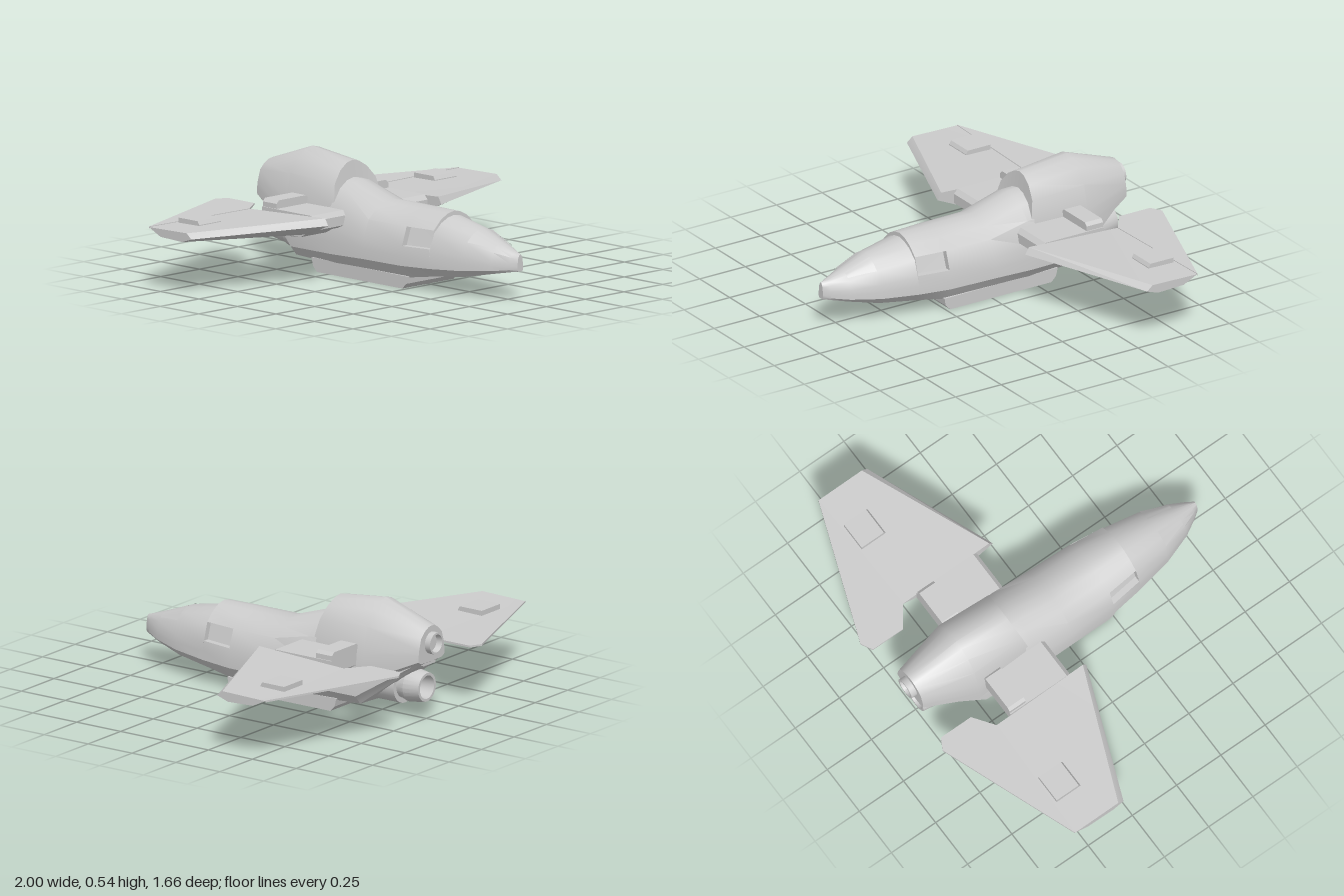
import * as THREE from 'three';
import { toCreasedNormals } from 'three/addons/utils/BufferGeometryUtils.js';

const grey = new THREE.MeshStandardMaterial({ color: 0xcccccc });
const greyDouble = new THREE.MeshStandardMaterial({ color: 0xcccccc, side: THREE.DoubleSide });

// Skin between rings of [x, y, z]; rings run counter-clockwise seen from the first end.
function loft(rings, skip = () => false, crease = 0.55) {
  const n = rings[0].length, pos = rings.flat(2), idx = [];
  for (let i = 0; i < rings.length - 1; i++) for (let j = 0; j < n; j++) {
    if (skip(i, j)) continue;
    const a = i * n + j, b = i * n + (j + 1) % n;
    idx.push(a, a + n, b, a + n, b + n, b);
  }
  [0, rings.length - 1].forEach((r, end) => {
    const c = [0, 1, 2].map(k => rings[r].reduce((s, p) => s + p[k], 0) / n);
    const ci = pos.length / 3;
    pos.push(...c);
    for (let j = 0; j < n; j++) {
      const a = r * n + j, b = r * n + (j + 1) % n;
      end ? idx.push(ci, b, a) : idx.push(ci, a, b);
    }
  });
  const g = new THREE.BufferGeometry();
  g.setAttribute('position', new THREE.Float32BufferAttribute(pos, 3));
  g.setIndex(idx);
  return toCreasedNormals(g, crease);
}

// Mirror an unindexed geometry across x = 0, keeping faces outward.
function mirrorX(g) {
  const m = g.clone().scale(-1, 1, 1);
  const p = m.attributes.position.array;
  for (let i = 0; i < p.length; i += 9) for (let k = 0; k < 3; k++) {
    [p[i + 3 + k], p[i + 6 + k]] = [p[i + 6 + k], p[i + 3 + k]];
  }
  m.deleteAttribute('normal');
  return toCreasedNormals(m, 0.5);
}

// Side profile of [z, y] points pushed along x.
function extrudeX(pts, x0, x1) {
  const s = new THREE.Shape(pts.map(([z, y]) => new THREE.Vector2(-z, y)));
  return new THREE.ExtrudeGeometry(s, { depth: x1 - x0, bevelEnabled: false })
    .rotateY(Math.PI / 2).translate(x0, 0, 0);
}

// Plan outline of [x, z] points pushed up in y.
function extrudeY(pts, y0, y1) {
  const s = new THREE.Shape(pts.map(([x, z]) => new THREE.Vector2(x, -z)));
  return new THREE.ExtrudeGeometry(s, { depth: y1 - y0, bevelEnabled: false })
    .rotateX(-Math.PI / 2).translate(0, y0, 0);
}

// Half body section from keel to crown.
const ARCH = [[0, 1], [0.18, 0.99], [0.36, 0.95], [0.7, 0.79], [0.88, 0.51], [0.97, 0.24], [1, 0]];
function halfSection([z, hw, bot, chine, top], slant = 0) {
  const pts = [[0, bot, z], [hw * 0.8, bot + (chine - bot) * 0.15, z]];
  ARCH.forEach(([f, w]) => pts.push([hw * w, chine + (top - chine) * f, z + slant * (1 - f)]));
  return pts;
}
const fullRing = h => [...h, ...h.slice(1, -1).reverse().map(([x, y, z]) => [-x, y, z])];

// z, half width, keel, chine, crown
const HULL = [
  [0.83, 0.018, 0.14, 0.15, 0.22], [0.8, 0.04, 0.135, 0.148, 0.23], [0.72, 0.085, 0.12, 0.138, 0.258],
  [0.58, 0.132, 0.09, 0.125, 0.31], [0.401, 0.165, 0.068, 0.115, 0.345], [0.4, 0.165, 0.068, 0.115, 0.364],
  [0.24, 0.186, 0.04, 0.11, 0.365], [0, 0.195, 0.04, 0.11, 0.365], [-0.2, 0.197, 0.04, 0.105, 0.43],
  [-0.48, 0.18, 0.05, 0.1, 0.44], [-0.77, 0.085, 0.275, 0.285, 0.42],
];
const HUMP = [[-0.26, 0.167, 0.15, 0.2, 0.51], [-0.52, 0.18, 0.13, 0.18, 0.54], [-0.78, 0.1, 0.28, 0.295, 0.45]];

// Point on the hull at station z and section position u (0 keel, 8 crown).
function hullPoint(z, u) {
  const i = HULL.findIndex((s, k) => k < HULL.length - 1 && z <= s[0] && z >= HULL[k + 1][0]);
  const t = (HULL[i][0] - z) / (HULL[i][0] - HULL[i + 1][0]);
  const a = halfSection(HULL[i]), b = halfSection(HULL[i + 1]);
  const j = Math.min(Math.floor(u), 7);
  const v = h => new THREE.Vector3(...h[j]).lerp(new THREE.Vector3(...h[j + 1]), u - j);
  return v(a).lerp(v(b), t);
}

export function createModel() {
  const model = new THREE.Group();
  const add = (name, geo, mat = grey, parent = model) => {
    const m = new THREE.Mesh(geo, mat);
    m.name = name;
    parent.add(m);
    return m;
  };

  // Hull, left open where the two side intakes sit
  add('hull', loft(HULL.map(s => fullRing(halfSection(s))), (i, j) => i === 5 && (j === 4 || j === 11)));
  add('rearHump', loft(HUMP.map((s, i) => fullRing(halfSection(s, i ? 0 : 0.06)))));

  // Belly pod and the small fairing behind it
  add('bellyPod', extrudeX([[0.26, 0.06], [0.255, 0.025], [0.23, 0], [-0.325, 0], [-0.35, 0.025], [-0.36, 0.065]], -0.165, 0.165));
  add('bellyFairing', extrudeX([[-0.3, 0.07], [-0.3, 0.035], [-0.44, 0.035], [-0.46, 0.07]], -0.08, 0.08));

  // Engines
  const housing = new THREE.CylinderGeometry(0.09, 0.09, 0.25, 24).rotateX(Math.PI / 2).translate(0, 0.145, -0.505);
  add('lowerEngineHousing', housing);
  const nozzle = (name, y, z, pts) => {
    const g = new THREE.LatheGeometry(pts.map(p => new THREE.Vector2(...p)), 24).rotateX(-Math.PI / 2).translate(0, y, z);
    add(name, toCreasedNormals(g, 0.5), greyDouble);
  };
  nozzle('lowerNozzle', 0.15, -0.62, [[0.07, 0], [0.07, 0.02], [0.081, 0.055], [0.068, 0.135], [0.055, 0.135], [0.05, 0.05], [0, 0.04]]);
  nozzle('upperNozzle', 0.368, -0.74, [[0.052, 0], [0.052, 0.07], [0.042, 0.07], [0.038, 0.035], [0, 0.035]]);
  add('engineBracket', new THREE.BoxGeometry(0.09, 0.025, 0.1).translate(0, 0.275, -0.72));

  // Wing: tip and root sections as [z, y]
  const tip = [[-0.3, 0.27], [-0.36, 0.25], [-0.5, 0.255], [-0.575, 0.29], [-0.33, 0.295]];
  const root = [[-0.05, 0.28], [-0.17, 0.225], [-0.45, 0.235], [-0.56, 0.29], [-0.07, 0.313]];
  const at = (x, pts) => pts.map(([z, y]) => [x, y, z]);
  const wing = loft([at(1, tip), at(0.365, root)], undefined, 0.1);
  const flap = extrudeY([[1, -0.575], [0.32, -0.83], [0.265, -0.8], [0.265, -0.63], [0.37, -0.555]], 0.284, 0.293);
  const tab = extrudeX([[-0.42, 0.297], [-0.43, 0.314], [-0.555, 0.314], [-0.555, 0.285], [-0.42, 0.285]], 0.69, 0.83);

  // Wing pylon parts
  const arm = extrudeX([[-0.14, 0.29], [-0.14, 0.245], [-0.17, 0.23], [-0.45, 0.23], [-0.48, 0.25], [-0.48, 0.312], [-0.16, 0.312]], 0.14, 0.366);
  const liftPod = extrudeX([[-0.17, 0.235], [-0.23, 0.203], [-0.36, 0.203], [-0.41, 0.235]], 0.2, 0.365);
  const capShape = new THREE.Shape([[0.155, 0.3], [0.36, 0.3], [0.36, 0.335], [0.345, 0.35], [0.17, 0.35], [0.155, 0.335]]
    .map(p => new THREE.Vector2(...p)));
  const cap = new THREE.ExtrudeGeometry(capShape, { depth: 0.09, bevelEnabled: false }).translate(0, 0, -0.48);
  const parts = { wing, trailingFlap: flap, wingTab: tab, pylonArm: arm, liftPod, pylonCap: cap };

  for (const [side, s] of [['left', 1], ['right', -1]]) {
    const half = new THREE.Group();
    half.name = side + 'WingAssembly';
    model.add(half);
    for (const [name, geo] of Object.entries(parts)) {
      const flat = geo.index ? geo.toNonIndexed() : geo;
      add(name, s > 0 ? flat : mirrorX(flat), grey, half);
    }

    // Lift fans under the pylon
    for (const x of [0.242, 0.322]) {
      add('liftFanRing', new THREE.TorusGeometry(0.031, 0.006, 6, 20).rotateX(Math.PI / 2).translate(s * x, 0.201, -0.295), grey, half);
      add('liftFanHub', new THREE.CylinderGeometry(0.01, 0.01, 0.012, 12).translate(s * x, 0.2, -0.295), grey, half);
    }

    // Recessed side intake: back wall and four lips
    const outer = [[0.4, 4], [0.24, 4], [0.24, 5], [0.4, 5]].map(([z, u]) => hullPoint(z - 1e-5, u).toArray());
    const inner = outer.map(([x, y, z]) => [x - 0.03, y, z]);
    const flip = ([x, y, z]) => [s * x, y, z];
    const pocket = new THREE.BufferGeometry();
    const pIdx = [4, 5, 6, 4, 6, 7];
    for (let k = 0; k < 4; k++) {
      const n = (k + 1) % 4;
      pIdx.push(k, n, n + 4, k, n + 4, k + 4);
    }
    pocket.setAttribute('position', new THREE.Float32BufferAttribute([...outer, ...inner].map(flip).flat(), 3));
    pocket.setIndex(pIdx);
    add(side + 'Intake', toCreasedNormals(pocket, 0.3), greyDouble);

    // Cockpit window following the hull surface
    const wPos = [], wIdx = [], N = 5;
    for (let i = 0; i <= N; i++) for (let j = 0; j <= N; j++) {
      const a = i / N, b = j / N;
      const p = hullPoint(0.59 + a * 0.13, THREE.MathUtils.lerp(5 + 0.5 * a, 6.9 - 0.2 * a, b));
      wPos.push(s * (p.x + 0.003), p.y + 0.004, p.z);
      if (i < N && j < N) {
        const q = i * (N + 1) + j, r = q + N + 1;
        wIdx.push(...(s > 0 ? [q, q + 1, r, r, q + 1, r + 1] : [q, r, q + 1, r, r + 1, q + 1]));
      }
    }
    const win = new THREE.BufferGeometry();
    win.setAttribute('position', new THREE.Float32BufferAttribute(wPos, 3));
    win.setIndex(wIdx);
    win.computeVertexNormals();
    add(side + 'CockpitWindow', win, greyDouble);
  }
  return model;
}
